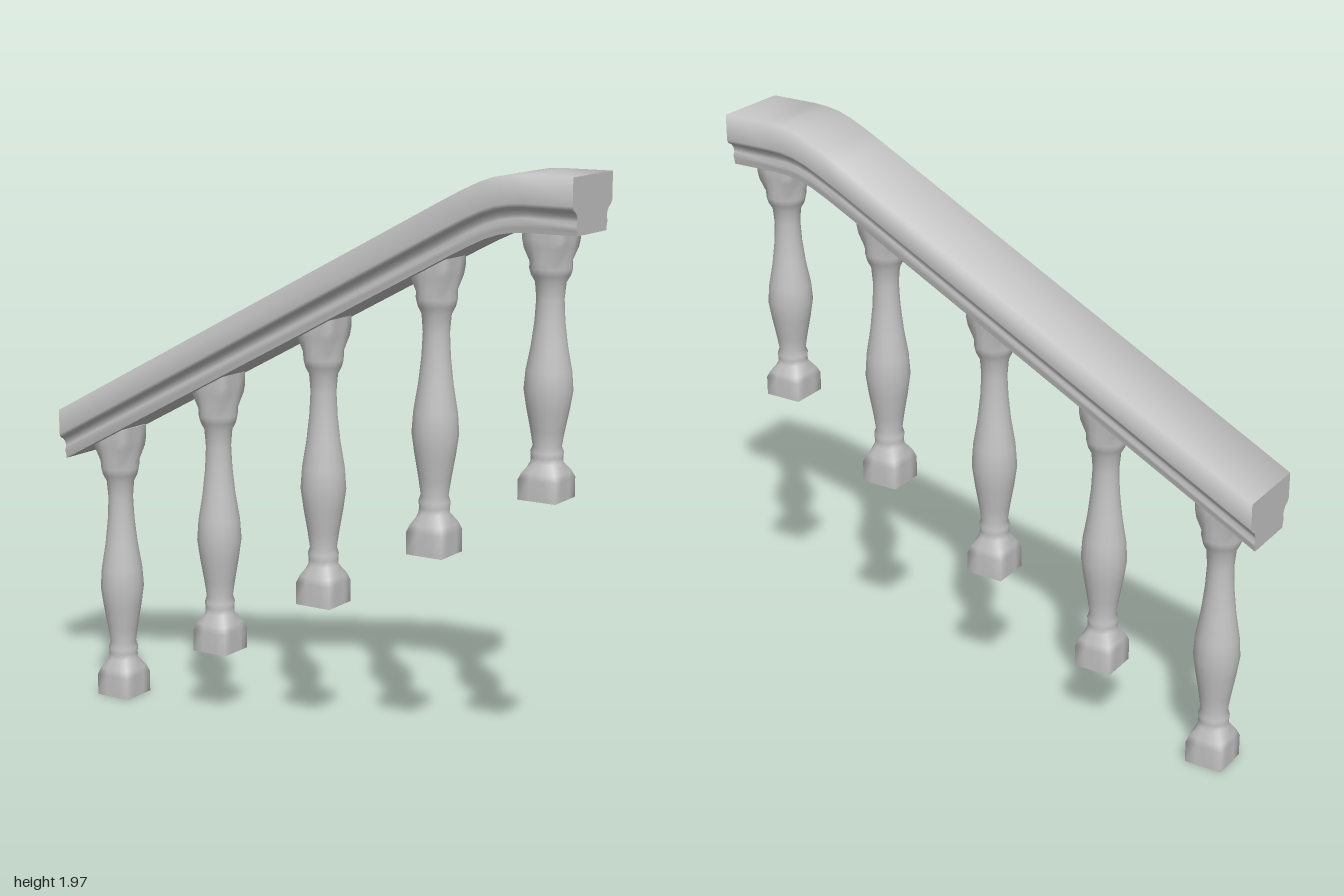
import * as THREE from 'three';
import { mergeGeometries } from 'three/addons/utils/BufferGeometryUtils.js';

// Skin over closed rings of [x, y, z] points, smooth along the sides, with flat end caps
function loft(rings) {
  const n = rings[0].length;
  const build = (points, index) => {
    const g = new THREE.BufferGeometry();
    g.setAttribute('position', new THREE.Float32BufferAttribute(points.flat(), 3));
    g.setIndex(index);
    g.computeVertexNormals();
    return g;
  };
  const side = [];
  for (let i = 0; i < rings.length - 1; i++) {
    for (let j = 0; j < n; j++) {
      const k = (j + 1) % n;
      const a = i * n + j, b = i * n + k, c = a + n, d = b + n;
      side.push(a, c, b, b, c, d);
    }
  }
  const cap = (ring, flip) => {
    const centre = [0, 1, 2].map(a => ring.reduce((sum, p) => sum + p[a], 0) / n);
    const index = [];
    for (let j = 0; j < n; j++) {
      const k = (j + 1) % n;
      index.push(n, flip ? k : j, flip ? j : k);
    }
    return build([...ring, centre], index);
  };
  return mergeGeometries([build(rings.flat(), side), cap(rings[0], false), cap(rings[rings.length - 1], true)]);
}

// Baluster rings: [height, half width, squareness 0..1]
const balusterRings = [
  [0, 0.067, 1], [0.075, 0.067, 1], [0.1, 0.066, 0.6], [0.135, 0.052, 0],
  [0.155, 0.051, 0], [0.175, 0.053, 0], [0.195, 0.046, 0], [0.25, 0.054, 0],
  [0.33, 0.068, 0], [0.4, 0.078, 0], [0.47, 0.073, 0], [0.56, 0.058, 0],
  [0.65, 0.048, 0], [0.73, 0.044, 0], [0.79, 0.049, 0], [0.815, 0.062, 0],
  [0.84, 0.068, 0], [0.865, 0.064, 0.2], [0.915, 0.067, 0.8], [0.945, 0.067, 1], [0.99, 0.067, 1],
];

function balusterGeometry() {
  const sides = 16;
  return loft(balusterRings.map(([y, r, square]) =>
    Array.from({ length: sides }, (_, j) => {
      const t = (j / sides) * Math.PI * 2;
      const c = Math.cos(t), s = Math.sin(t);
      const toSquare = 1 / Math.max(Math.abs(c), Math.abs(s));
      const radius = r * THREE.MathUtils.lerp(1, toSquare, square);
      return [c * radius, y, s * radius];
    })));
}

// Handrail: moulded section [z, depth] swept along a sloping line that levels out
function railGeometry() {
  const half = [
    [0.098, -0.18], [0.1, -0.165], [0.105, -0.15], [0.099, -0.136], [0.102, -0.122],
    [0.112, -0.108], [0.127, -0.1], [0.134, -0.088], [0.134, 0],
  ];
  const bottomEdge = [0.097, -0.18];
  const section = [bottomEdge, ...half];
  const profile = [...section, ...section.map(([z, y]) => [-z, y]).reverse()];
  const path = [
    [-1, 1.05], [0.55, 1.877], [0.62, 1.913], [0.68, 1.941], [0.73, 1.958],
    [0.78, 1.967], [0.83, 1.97], [1, 1.97],
  ];
  return loft(path.map(([x, top]) => profile.map(([z, y]) => [x, top + y, z])));
}

export function createModel() {
  const model = new THREE.Group();
  model.name = 'stairRailing';
  const stone = new THREE.MeshStandardMaterial({ color: 0xc4c4c4 });
  stone.name = 'pale grey stone';

  // The whole run is turned on plan
  const run = new THREE.Group();
  run.name = 'railingRun';
  run.rotation.y = THREE.MathUtils.degToRad(15.7);
  model.add(run);

  const handrail = new THREE.Mesh(railGeometry(), stone);
  handrail.name = 'handrail';
  run.add(handrail);

  // Balusters climb in even steps; the one below the level stretch is shorter
  const geometry = balusterGeometry();
  [-0.836, -0.405, 0.026, 0.457, 0.863].forEach((x, i) => {
    const baluster = new THREE.Mesh(geometry, stone);
    baluster.name = 'baluster' + (i + 1);
    baluster.position.set(x, i * 0.236, 0);
    if (i === 4) baluster.scale.y = 0.87;
    run.add(baluster);
  });
  return model;
}
